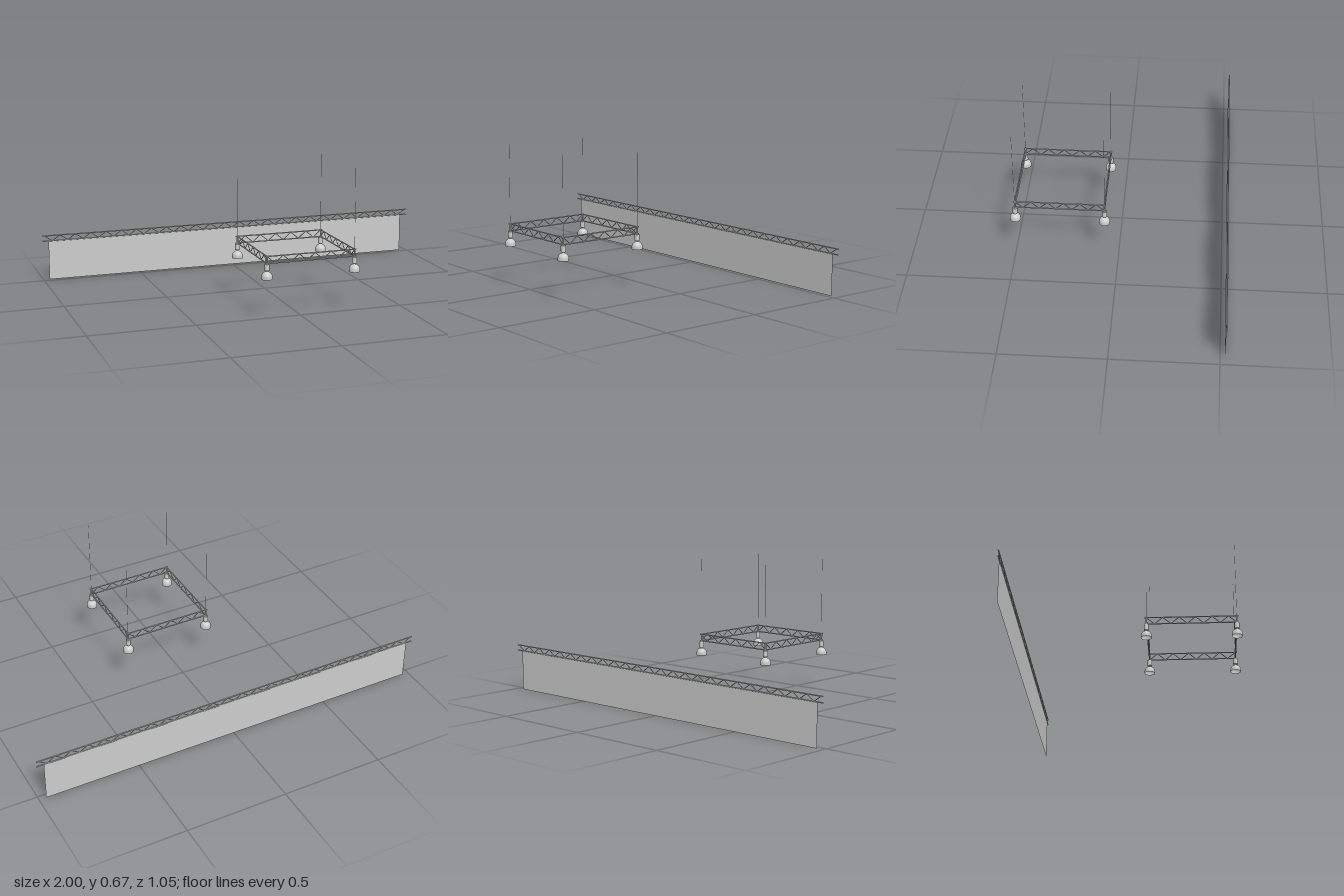
import * as THREE from 'three';

const metal = new THREE.MeshStandardMaterial({ color: 0xcccccc });
const thin = new THREE.MeshStandardMaterial({ color: 0xcccccc, side: THREE.DoubleSide });
const v = (x, y, z) => new THREE.Vector3(x, y, z);

// Round bar between two points
function bar(name, a, b, radius, sides = 8) {
  const dir = b.clone().sub(a);
  const mesh = new THREE.Mesh(new THREE.CylinderGeometry(radius, radius, dir.length(), sides), metal);
  mesh.position.copy(a).add(b).multiplyScalar(0.5);
  mesh.quaternion.setFromUnitVectors(v(0, 1, 0), dir.normalize());
  mesh.name = name;
  return mesh;
}

// Flat ladder truss along x, centred on its own origin, with zigzag bracing
function truss(name, length, low, high, bays, overhang) {
  const g = new THREE.Group();
  g.name = name;
  const h = length / 2, e = h + overhang;
  g.add(bar('topChord', v(-e, high, 0), v(e, high, 0), 0.003));
  g.add(bar('bottomChord', v(-e, low, 0), v(e, low, 0), 0.003));
  for (let i = 0; i < bays; i++) {
    const x0 = -h + (length * i) / bays, x1 = -h + (length * (i + 1)) / bays;
    const [y0, y1] = i % 2 ? [low, high] : [high, low];
    g.add(bar('brace', v(x0, y0, 0), v(x1, y1, 0), 0.002, 6));
  }
  return g;
}

// Hanging corner: cable, post, lamp holder and bell shade
function corner(x, z) {
  const g = new THREE.Group();
  g.name = 'cornerLamp';
  g.position.set(x, 0, z);
  g.add(bar('cable', v(0, 0.29, 0), v(0, 0.67, 0), 0.0007, 6));
  g.add(bar('post', v(0, 0.222, 0), v(0, 0.293, 0), 0.004));
  g.add(bar('lampHolder', v(0, 0.224, 0), v(0, 0.254, 0), 0.0115, 20));
  const profile = [new THREE.Vector2(0.026, 0.184)];
  for (let i = 0; i <= 10; i++) {
    const a = (i / 10) * Math.PI / 2;
    profile.push(new THREE.Vector2(0.026 * Math.cos(a), 0.194 + 0.026 * Math.sin(a)));
  }
  const shade = new THREE.Mesh(new THREE.LatheGeometry(profile, 24), thin);
  shade.name = 'bellShade';
  g.add(shade);
  return g;
}

export function createModel() {
  const model = new THREE.Group();
  model.name = 'stageRig';

  // Long rear truss with its drape
  const rear = truss('rearTruss', 1.98, 0.199, 0.226, 50, 0.01);
  rear.position.z = -0.522;
  model.add(rear);
  const drape = new THREE.Mesh(new THREE.PlaneGeometry(1.935, 0.198), thin);
  drape.name = 'drape';
  drape.position.set(-0.002, 0.099, -0.522);
  model.add(drape);

  // Square overhead frame with a lamp at each corner
  const frame = new THREE.Group();
  frame.name = 'squareFrame';
  frame.position.set(0.052, 0, 0.283);
  const half = 0.215;
  for (let i = 0; i < 4; i++) {
    const side = truss('frameTruss', half * 2, 0.257, 0.29, 11, 0.008);
    const a = (i * Math.PI) / 2;
    side.rotation.y = a;
    side.position.set(half * Math.sin(a), 0, half * Math.cos(a));
    frame.add(side);
  }
  for (const x of [-half, half]) for (const z of [-half, half]) frame.add(corner(x, z));
  model.add(frame);
  return model;
}
